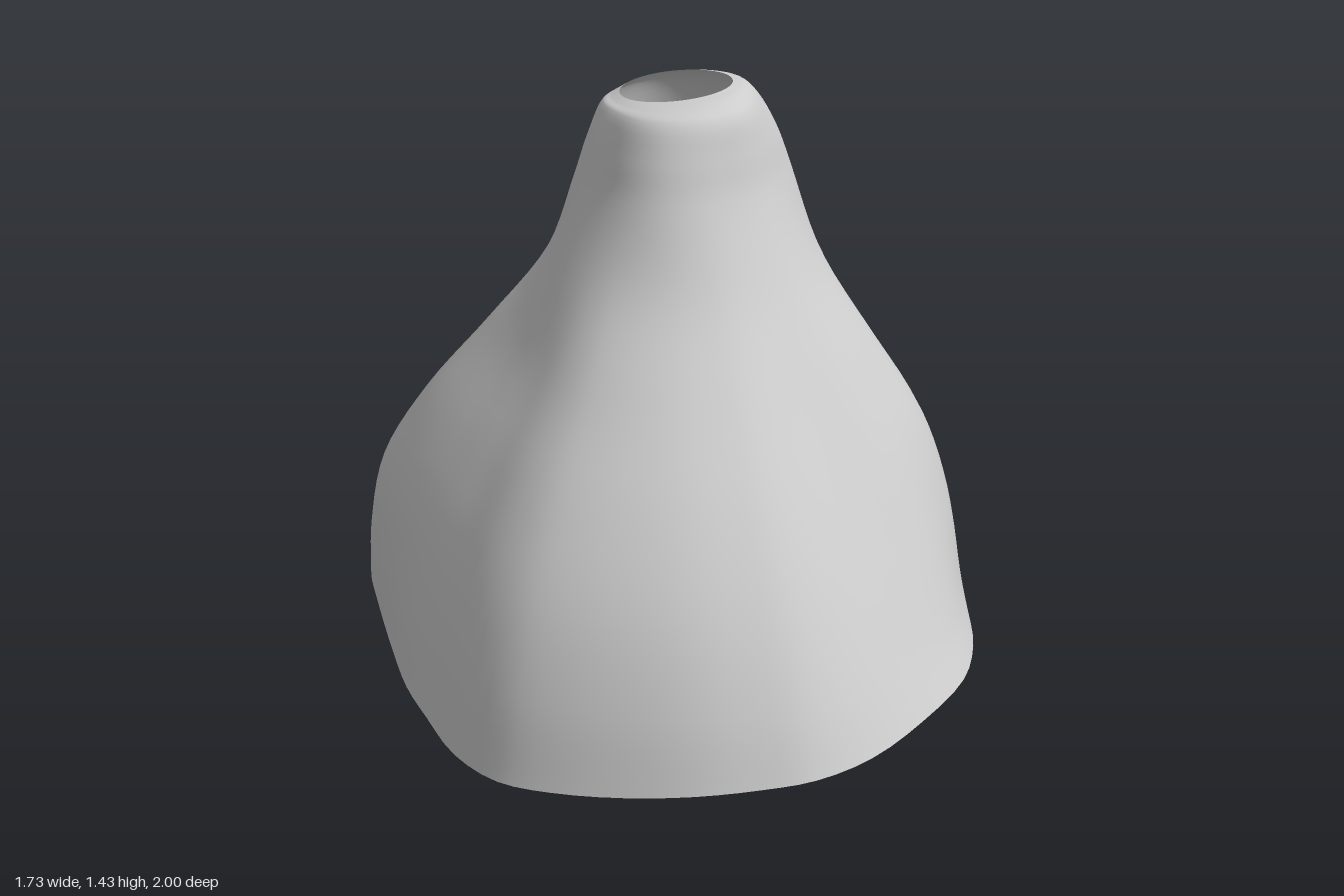
import * as THREE from 'three';

// Lower hem [x, y, z], running from the left side round the front
const HEM = [
  [0.86, 0.14, 0], [0.8, 0.14, 0.15], [0.65, 0.14, 0.35], [0.53, 0.135, 0.53],
  [0.43, 0.13, 0.66], [0.31, 0.125, 0.8], [0.18, 0.115, 0.9], [-0.02, 0.1, 0.97],
  [-0.21, 0.08, 1], [-0.36, 0.067, 0.98], [-0.47, 0.055, 0.92], [-0.59, 0.04, 0.83],
  [-0.7, 0.022, 0.71], [-0.8, 0.008, 0.57], [-0.86, 0, 0.44], [-0.87, 0.003, 0.28],
  [-0.83, 0.012, 0.1], [-0.79, 0.02, -0.05], [-0.73, 0.03, -0.2], [-0.62, 0.05, -0.45],
  [-0.54, 0.06, -0.61], [-0.42, 0.065, -0.75], [-0.28, 0.06, -0.87], [-0.12, 0.048, -0.96],
  [0.03, 0.04, -1], [0.18, 0.055, -0.97], [0.33, 0.08, -0.88], [0.47, 0.1, -0.75],
  [0.6, 0.115, -0.59], [0.69, 0.125, -0.48], [0.77, 0.13, -0.35], [0.84, 0.137, -0.17],
].map((p) => new THREE.Vector3(...p));

// Reach in eight compass directions (left, front-left corner, front, ...) per height
const HEM_REACH = [0.863, 0.785, 1.0, 1.005, 0.87, 0.83, 1.0, 0.865];
const LEVELS = [
  [0.2, [0.83, 0.775, 0.935, 0.952, 0.83, 0.825, 0.92, 0.825]],
  [0.4, [0.72, 0.74, 0.81, 0.865, 0.755, 0.785, 0.77, 0.735]],
  [0.6, [0.6, 0.665, 0.675, 0.73, 0.625, 0.66, 0.59, 0.62]],
  [0.8, [0.49, 0.52, 0.53, 0.555, 0.465, 0.48, 0.45, 0.48]],
  [1.0, [0.4, 0.37, 0.385, 0.385, 0.35, 0.315, 0.34, 0.355]],
  [1.2, [0.335, 0.28, 0.277, 0.295, 0.25, 0.238, 0.24, 0.288]],
  [1.3, [0.292, 0.25, 0.25, 0.262, 0.215, 0.205, 0.205, 0.26]],
  [1.385, [0.235, 0.214, 0.224, 0.222, 0.174, 0.168, 0.172, 0.217]],
];

// Smooth periodic interpolation round the compass
function around(values, angle) {
  const n = values.length;
  const u = (((angle / (2 * Math.PI)) % 1) + 1) % 1 * n;
  const i = Math.floor(u), f = u - i;
  const [a, b, c, d] = [-1, 0, 1, 2].map((k) => values[(i + k + n) % n]);
  return b + 0.5 * f * (c - a + f * (2 * a - 5 * b + 4 * c - d + f * (3 * (b - c) + d - a)));
}

// Wall profile from the hem up to the edge of the hole, at one hem point
function wallProfile(hem) {
  const angle = Math.atan2(hem.z, hem.x);
  const cos = Math.cos(angle), sin = Math.sin(angle);
  const at = (r, y) => new THREE.Vector3(r * cos, y, r * sin);
  // the hem's corners and flats fade into a round neck
  const shape = Math.hypot(hem.x, hem.z) / around(HEM_REACH, angle);
  const points = [hem.clone()];
  for (const [y, reach] of LEVELS) {
    const fade = 1 - THREE.MathUtils.smoothstep(y, 0.5, 1.25);
    points.push(at(around(reach, angle) * (1 + (shape - 1) * fade), y));
  }
  // rounded lip and round opening
  const lip = 1.418 + 0.014 * Math.cos(angle - 0.4);
  const hole = 0.138 + 0.015 * cos;
  const shoulder = around(LEVELS[LEVELS.length - 1][1], angle);
  points.push(at(hole + (shoulder - hole) * 0.5, lip - 0.01), at(hole, lip));
  return new THREE.CatmullRomCurve3(points);
}

function drapedCone(segments, rows) {
  const hemCurve = new THREE.CatmullRomCurve3(HEM, true);
  const positions = [], indices = [];
  for (let i = 0; i < segments; i++) {
    const profile = wallProfile(hemCurve.getPoint(i / segments));
    for (let j = 0; j <= rows; j++) {
      positions.push(...profile.getPoint(j / rows).toArray());
      if (j === rows) continue;
      const a = i * (rows + 1) + j;
      const b = ((i + 1) % segments) * (rows + 1) + j;
      indices.push(a, a + 1, b, b, a + 1, b + 1);
    }
  }
  const geometry = new THREE.BufferGeometry();
  geometry.setAttribute('position', new THREE.Float32BufferAttribute(positions, 3));
  geometry.setIndex(indices);
  geometry.computeVertexNormals();
  return geometry;
}

export function createModel() {
  const group = new THREE.Group();
  group.name = 'drapedCone';
  // Single open sheet: hole at the top, open underneath
  const material = new THREE.MeshStandardMaterial({ color: 0xcccccc, side: THREE.DoubleSide });
  const shell = new THREE.Mesh(drapedCone(96, 50), material);
  shell.name = 'shell';
  group.add(shell);
  return group;
}
